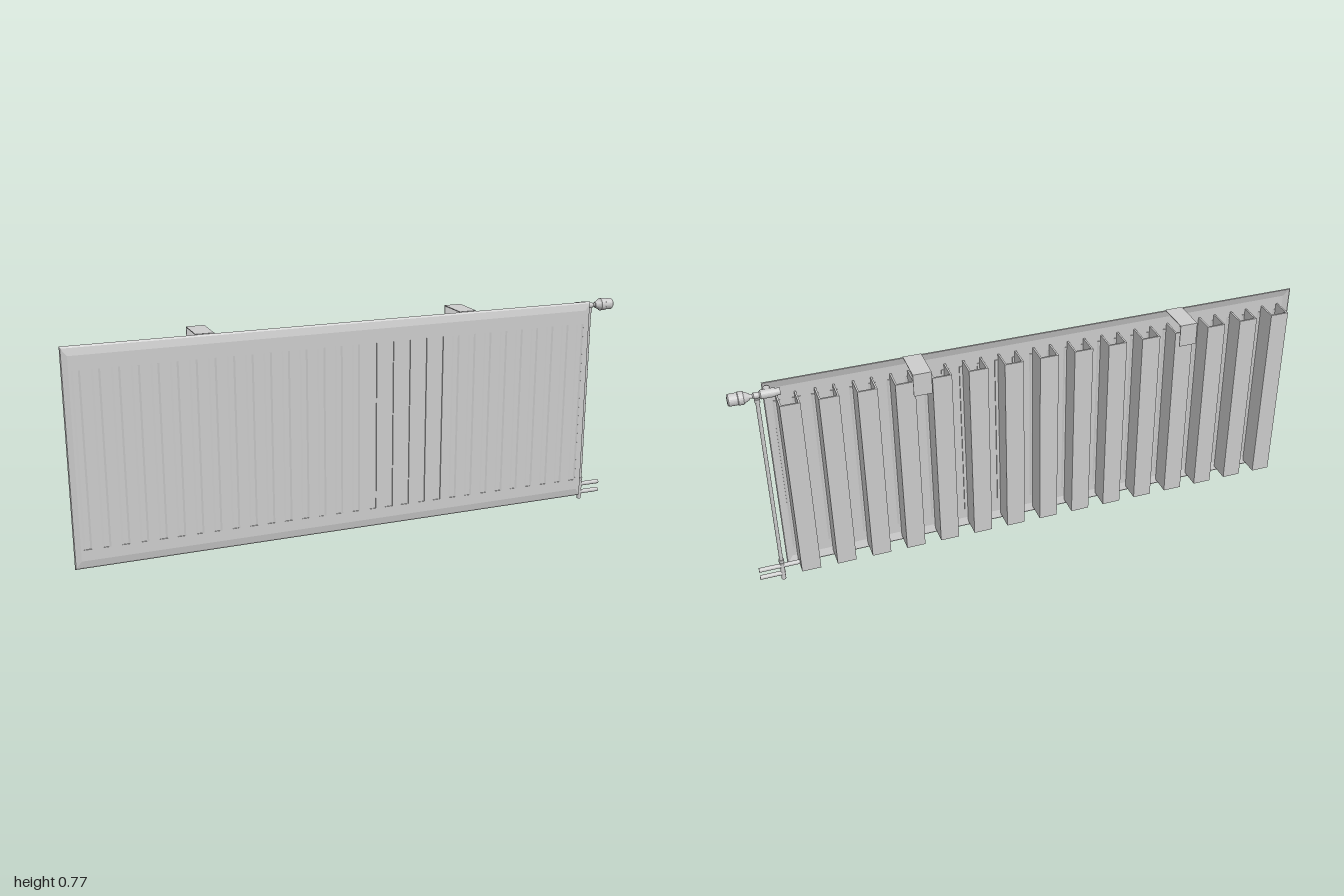
import * as THREE from 'three';

const grey = new THREE.MeshStandardMaterial({ color: 0xcccccc, side: THREE.DoubleSide });
const X0 = -1, X1 = 0.887, Y0 = 0.027, Y1 = 0.77;      // panel outline
const BX0 = -0.97, BX1 = 0.859, BY0 = 0.095, BY1 = 0.692; // embossed band
const FRONT = 0.067, SHEET = 0.003, PITCH = 0.0621, STRIP = 0.028;
const PIPE_X = 0.909, PIPE_Z = 0.023;

function add(parent, name, geometry, x = 0, y = 0, z = 0) {
  const mesh = new THREE.Mesh(geometry, grey);
  mesh.name = name;
  mesh.position.set(x, y, z);
  parent.add(mesh);
  return mesh;
}

// Extrudes an outline given as [x, z] points upwards from y = 0
function upright(points, height) {
  const shape = new THREE.Shape(points.map(([x, z]) => new THREE.Vector2(x, -z)));
  return new THREE.ExtrudeGeometry(shape, { depth: height, bevelEnabled: false }).rotateX(-Math.PI / 2);
}

function rect(Type, x0, y0, x1, y1) {
  return new Type([[x0, y0], [x1, y0], [x1, y1], [x0, y1]].map(p => new THREE.Vector2(...p)));
}

// Four-sided bevel around the panel, lofted through rectangles [insetX, insetY, z]
function rimGeometry(rings) {
  const loops = rings.map(([ix, iy, z]) => [
    [X0 + ix, Y0 + iy, z], [X1 - ix, Y0 + iy, z], [X1 - ix, Y1 - iy, z], [X0 + ix, Y1 - iy, z]]);
  const pos = [];
  for (let r = 0; r < loops.length - 1; r++) {
    for (let i = 0; i < 4; i++) {
      const j = (i + 1) % 4;
      const a = loops[r][i], b = loops[r][j], c = loops[r + 1][j], d = loops[r + 1][i];
      pos.push(...a, ...d, ...c, ...a, ...c, ...b);
    }
  }
  const g = new THREE.BufferGeometry();
  g.setAttribute('position', new THREE.Float32BufferAttribute(pos, 3));
  g.computeVertexNormals();
  return g;
}

// Horizontal turned part, profile [radius, x]
function turnedX(profile, segments = 24) {
  const pts = profile.map(([r, x]) => new THREE.Vector2(r, x));
  const g = new THREE.LatheGeometry(pts, segments).toNonIndexed();
  g.computeVertexNormals();
  return g.rotateZ(-Math.PI / 2);
}

function buildPanel() {
  const panel = new THREE.Group();
  panel.name = 'frontPanel';

  // Flat margin around the band
  const face = rect(THREE.Shape, X0 + 0.022, Y0 + 0.03, X1 - 0.022, Y1 - 0.03);
  face.holes.push(rect(THREE.Path, BX0, BY0, BX1, BY1));
  add(panel, 'panelMargin', new THREE.ExtrudeGeometry(face, { depth: SHEET, bevelEnabled: false }), 0, 0, FRONT - SHEET);

  // Edges folded back
  add(panel, 'foldedRim', rimGeometry([
    [0.022, 0.03, FRONT], [0.003, 0.006, 0.062], [0, 0, 0.057], [0.003, 0.003, 0.056], [0.022, 0.03, FRONT - SHEET]]));

  // Pressed sheet with shallow vertical channels, five of them sharp-sided
  const line = [[BX0, FRONT]];
  for (let i = 0; i < 30; i++) {
    const x = BX0 + i * PITCH;
    const sharp = i >= 16 && i <= 20;
    const slope = sharp ? 0.0005 : 0.006;
    const z = FRONT - 0.003;
    if (i) line.push([x, FRONT]);
    line.push([x + slope, z], [x + STRIP - slope, z], [x + STRIP, FRONT]);
  }
  const back = line.map(([x, z]) => [x, z - SHEET]).reverse();
  add(panel, 'embossedSheet', upright([...line, ...back], BY1 - BY0), 0, BY0, 0);
  return panel;
}

function buildFins() {
  const fins = new THREE.Group();
  fins.name = 'convectorFins';
  const w = 0.033, t = 0.006, zb = -0.015, zf = 0.061;
  const channel = upright([
    [-w, zf], [-w, zb], [w, zb], [w, zf], [w - t, zf], [w - t, zb + t], [-w + t, zb + t], [-w + t, zf]], 0.673);
  for (let k = 0; k < 15; k++) add(fins, 'finChannel', channel, -0.924 + k * 2 * PITCH, 0.042, 0);
  return fins;
}

function buildBracket(x) {
  const bracket = new THREE.Group();
  bracket.name = 'wallBracket';
  add(bracket, 'bracketArm', new THREE.BoxGeometry(0.062, 0.003, 0.123), x, 0.7705, -0.0045);
  add(bracket, 'bracketHook', new THREE.BoxGeometry(0.062, 0.08, 0.003), x, 0.732, -0.0645);
  return bracket;
}

function buildPipework() {
  const pipes = new THREE.Group();
  pipes.name = 'pipework';
  const vertical = (name, r, y0, y1) =>
    add(pipes, name, new THREE.CylinderGeometry(r, r, y1 - y0, 20), PIPE_X, (y0 + y1) / 2, PIPE_Z);
  vertical('riserPipe', 0.0065, 0, 0.745);
  vertical('riserFoot', 0.008, 0, 0.07);
  vertical('riserCollar', 0.0095, 0.074, 0.084);
  vertical('riserTopCollar', 0.009, 0.722, 0.735);

  // Flow and return stubs
  [[0.057, 0.84], [0.025, 0.9]].forEach(([y, x0]) => {
    const stub = new THREE.CylinderGeometry(0.008, 0.008, 0.988 - x0, 20).rotateZ(Math.PI / 2);
    add(pipes, 'supplyStub', stub, (0.988 + x0) / 2, y, PIPE_Z);
  });

  // Thermostat valve: collar, neck and turning head
  add(pipes, 'valveBody', turnedX([
    [0, 0.835], [0.012, 0.835], [0.012, 0.85], [0.015, 0.85], [0.015, 0.897], [0.010, 0.901],
    [0.010, 0.918], [0.007, 0.922], [0.007, 0.936], [0, 0.936]]), 0, 0.748, PIPE_Z);
  add(pipes, 'thermostatHead', turnedX([
    [0, 0.93], [0.010, 0.93], [0.018, 0.946], [0.022, 0.95], [0.022, 0.966], [0.02, 0.968],
    [0.02, 0.996], [0.016, 1.0], [0, 1.0]]), 0, 0.748, PIPE_Z);
  const inlet = new THREE.CylinderGeometry(0.013, 0.013, 0.03, 20).rotateX(Math.PI / 2);
  add(pipes, 'valveInlet', inlet, 0.874, 0.748, 0.036);
  return pipes;
}

export function createModel() {
  const radiator = new THREE.Group();
  radiator.name = 'radiator';
  radiator.add(buildPanel(), buildFins(), buildBracket(-0.54), buildBracket(0.397), buildPipework());
  return radiator;
}
